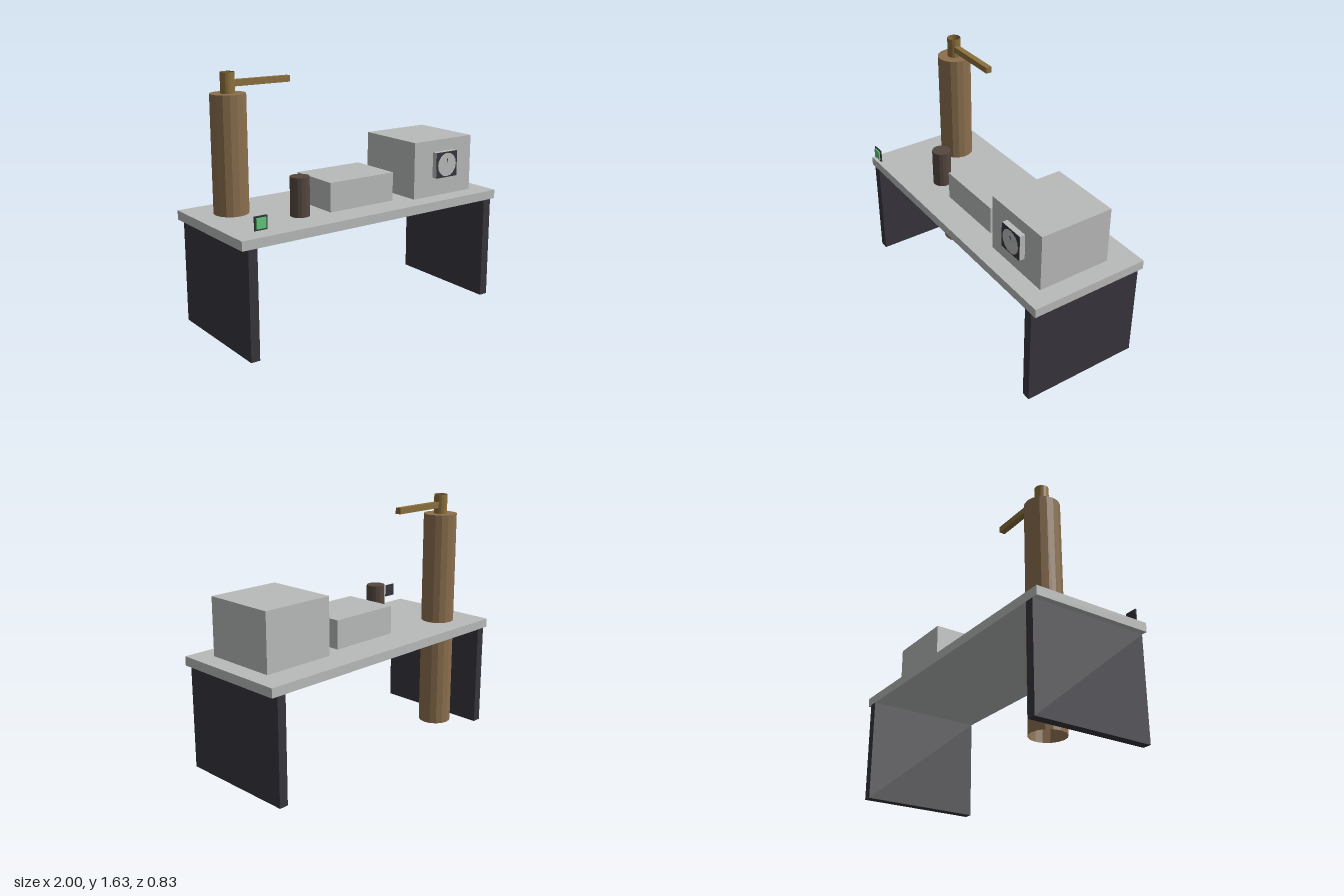
import * as THREE from 'three';

const mat = (name, color, extra = {}) => {
  const m = new THREE.MeshStandardMaterial({ color, ...extra });
  m.name = name;
  return m;
};

export function createModel() {
  const group = new THREE.Group();
  const grey = mat('paleGrey', 0xb9bbba);
  const dark = mat('charcoal', 0x37353c);
  const wood = mat('brown', 0x8b6f4e, { flatShading: true, side: THREE.DoubleSide });
  const brass = mat('brass', 0x8c6f3c, { flatShading: true, side: THREE.DoubleSide });
  const umber = mat('darkBrown', 0x54473f, { flatShading: true });
  const green = mat('green', 0x5fc878);

  const add = (name, geometry, material, x = 0, y = 0, z = 0) => {
    const mesh = new THREE.Mesh(geometry, material);
    mesh.name = name;
    mesh.position.set(x, y, z);
    group.add(mesh);
    return mesh;
  };
  // Box given by its minimum and maximum corners
  const box = (name, material, [x0, y0, z0], [x1, y1, z1]) =>
    add(name, new THREE.BoxGeometry(x1 - x0, y1 - y0, z1 - z0), material,
      (x0 + x1) / 2, (y0 + y1) / 2, (z0 + z1) / 2);

  // Table
  box('tableTop', grey, [-1, 0.69, -0.415], [1, 0.75, 0.395]);
  for (const side of [-1, 1]) {
    add(side > 0 ? 'leftLegPanel' : 'rightLegPanel',
      new THREE.BoxGeometry(0.06, 0.69, 0.81), dark, side * 0.93, 0.345, -0.01);
  }

  // Tall column: closed on top, open underneath
  const px = -0.75, pz = -0.168;
  const profile = [[0.1125, 0], [0.1125, 1.5], [0, 1.5]].map(p => new THREE.Vector2(...p));
  add('column', new THREE.LatheGeometry(profile, 16), wood, px, 0, pz);
  // Open pipe with a side arm
  add('pipe', new THREE.CylinderGeometry(0.045, 0.045, 0.13, 16, 1, true), brass, px, 1.565, pz);
  box('arm', brass, [-0.755, 1.54, -0.185], [-0.315, 1.58, -0.145]);

  // Objects on the table
  add('canister', new THREE.CylinderGeometry(0.0625, 0.0625, 0.25, 16), umber, -0.44, 0.875, 0.14);
  box('lowBox', grey, [-0.25, 0.75, -0.175], [0.25, 0.94, 0.2]);
  box('tallBox', grey, [0.375, 0.75, -0.23], [0.875, 1.13, 0.27]);

  // Dial on the tall box
  box('dialHousing', grey, [0.535, 0.877, 0.27], [0.715, 1.05, 0.307]);
  box('dialPlate', dark, [0.535, 0.877, 0.307], [0.715, 1.05, 0.31]);
  add('dialFace', new THREE.CircleGeometry(0.08, 16), grey, 0.625, 0.963, 0.312);
  const tick = new THREE.Shape([[-0.006, 0.04], [0.006, 0.04], [0.005, 0.01]]
    .map(p => new THREE.Vector2(...p)));
  add('dialPointer', new THREE.ShapeGeometry(tick), dark, 0.625, 0.963, 0.314);

  // Small display at the front edge
  box('displayFrame', dark, [-0.92, 0.797, 0.396], [-0.835, 0.882, 0.404]);
  box('displayScreen', green, [-0.91, 0.808, 0.404], [-0.847, 0.872, 0.413]);

  return group;
}
